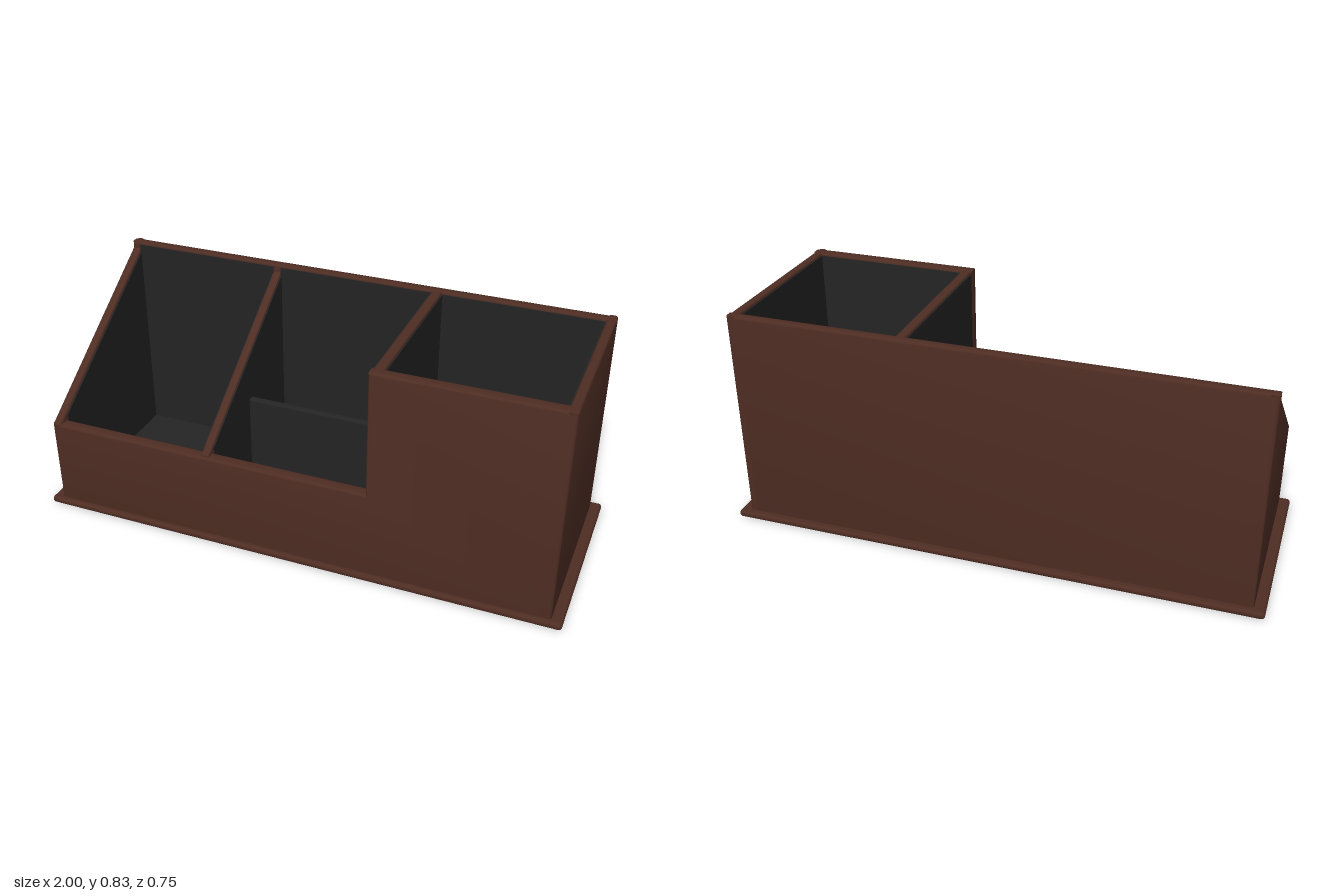
import * as THREE from 'three';
import { toCreasedNormals } from 'three/addons/utils/BufferGeometryUtils.js';
import { RoundedBoxGeometry } from 'three/addons/geometries/RoundedBoxGeometry.js';

export function createModel() {
  const model = new THREE.Group();
  model.name = 'deskOrganizer';

  const leather = new THREE.MeshStandardMaterial({ color: 0x4e2d23 });
  leather.name = 'brown leather';
  const lining = new THREE.MeshStandardMaterial({ color: 0x242424 });
  lining.name = 'black lining';

  // Main measures
  const FLOOR = 0.025, TOP = 0.835, LOW = 0.36;
  const FRONT = 0.36, BACK = -0.352, SIDE = 0.96;
  const IN_FRONT = 0.312, IN_BACK = -0.312, IN_SIDE = 0.925;
  const BEVEL = 0.01, SKIN = 0.004;

  function add(name, geometry, material) {
    const mesh = new THREE.Mesh(geometry, material);
    mesh.name = name;
    model.add(mesh);
    return mesh;
  }

  // Slab with the given outline, filling local z from 0 to thickness
  function slab(points, thickness, bevel) {
    const shape = new THREE.Shape(points.map(([a, b]) => new THREE.Vector2(a, b)));
    const geometry = new THREE.ExtrudeGeometry(shape, {
      depth: thickness - 2 * bevel,
      bevelEnabled: bevel > 0,
      bevelThickness: bevel, bevelSize: bevel, bevelOffset: -bevel, bevelSegments: 3,
    });
    geometry.translate(0, 0, bevel);
    return toCreasedNormals(geometry, 0.6);
  }

  // Panel facing front/back: outline in (x, y), from z0 to z1
  function facePanel(name, points, z0, z1, material, bevel = 0) {
    add(name, slab(points, z1 - z0, bevel).translate(0, 0, z0), material);
  }

  // Panel facing sideways: outline in (z, y), from x0 to x1
  function sidePanel(name, points, x0, x1, material, bevel = 0) {
    const flipped = points.map(([z, y]) => [-z, y]);
    add(name, slab(flipped, x1 - x0, bevel).rotateY(Math.PI / 2).translate(x0, 0, 0), material);
  }

  const rect = (a0, a1, b0, b1) => [[a0, b0], [a1, b0], [a1, b1], [a0, b1]];
  const sloped = (z0, z1, drop) => [
    [z0, FLOOR - 0.005], [z1, FLOOR - 0.005],
    [z1, LOW + (FRONT - z1) * (TOP - LOW) / (FRONT - BACK) - drop],
    [z0, LOW + (FRONT - z0) * (TOP - LOW) / (FRONT - BACK) - drop],
  ];

  // Base plate
  add('basePlate', new RoundedBoxGeometry(2, 0.027, 0.755, 3, 0.012), leather).position.y = 0.0135;

  // Outer walls
  const y0 = FLOOR - 0.01;
  facePanel('backWall', rect(-SIDE, SIDE, y0, TOP), BACK, IN_BACK, leather, BEVEL);
  facePanel('frontWall', [
    [-SIDE, y0], [SIDE, y0], [SIDE, TOP], [0.288, TOP], [0.288, LOW], [-SIDE, LOW],
  ], IN_FRONT, FRONT, leather, BEVEL);
  sidePanel('rightWall', sloped(BACK, FRONT, 0), -SIDE, -IN_SIDE, leather, BEVEL);
  sidePanel('leftWall', rect(BACK, FRONT, y0, TOP), IN_SIDE, SIDE, leather, BEVEL);

  // Dividers between the three compartments
  sidePanel('slopedDivider', sloped(BACK + 0.01, FRONT - 0.01, 0.002), -0.343, -0.311, leather, 0.008);
  sidePanel('tallDivider', rect(BACK + 0.01, FRONT - 0.01, y0, TOP - 0.001), 0.292, 0.33, leather, 0.008);

  // Low partition across the middle compartment
  add('lowPartition', new RoundedBoxGeometry(0.6, 0.4, 0.028, 3, 0.01), lining).position.set(-0.01, 0.222, 0);

  // Lining of the compartments: [x0, x1, front lining height]
  const compartments = [
    [-IN_SIDE, -0.343, LOW], [-0.311, 0.292, LOW], [0.33, IN_SIDE, TOP],
  ];
  for (const [x0, x1, height] of compartments) {
    const floor = new THREE.BoxGeometry(x1 - x0, SKIN, IN_FRONT - IN_BACK);
    add('floorLining', floor, lining).position.set((x0 + x1) / 2, FLOOR + 0.004, 0);
    facePanel('backLining', rect(x0, x1, FLOOR, TOP - 0.009), IN_BACK, IN_BACK + SKIN, lining);
    facePanel('frontLining', rect(x0, x1, FLOOR, height - 0.009), IN_FRONT - SKIN, IN_FRONT, lining);
  }

  // Lining of the sideways walls: [face x, direction it faces, is sloped]
  const sides = [
    [-IN_SIDE, 1, true], [-0.343, -1, true], [-0.311, 1, true],
    [0.292, -1, false], [0.33, 1, false], [IN_SIDE, -1, false],
  ];
  for (const [x, dir, isSloped] of sides) {
    const outline = isSloped
      ? sloped(IN_BACK, IN_FRONT, 0.011)
      : rect(IN_BACK, IN_FRONT, FLOOR, TOP - 0.009);
    sidePanel('sideLining', outline, Math.min(x, x + dir * SKIN), Math.max(x, x + dir * SKIN), lining);
  }

  return model;
}
